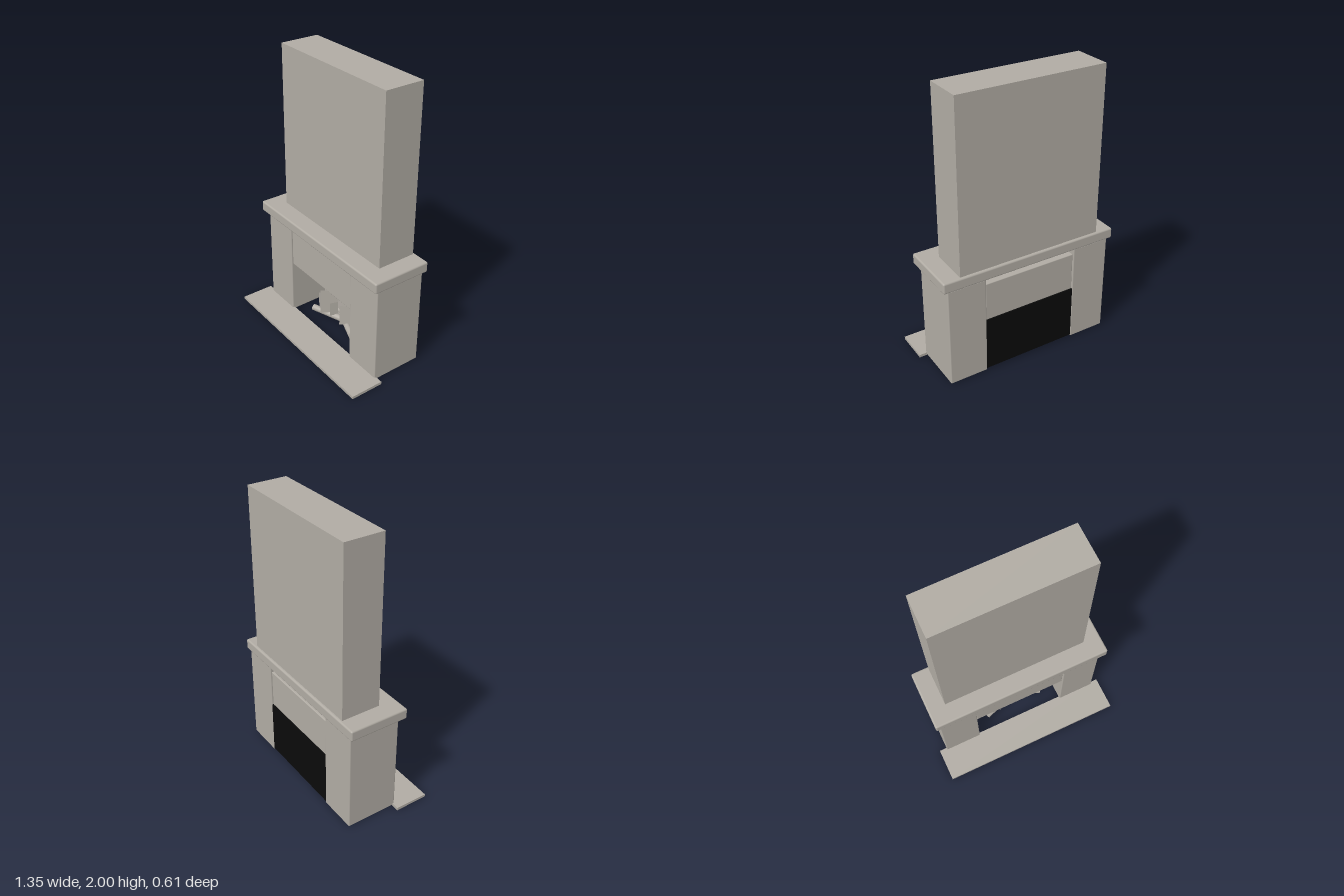
import * as THREE from 'three';
import { RoundedBoxGeometry } from 'three/addons/geometries/RoundedBoxGeometry.js';

export function createModel() {
  const model = new THREE.Group();
  model.name = 'fireplace';
  const stone = new THREE.MeshStandardMaterial({ color: 0xb0aba3 });
  stone.name = 'warm grey stone';
  const soot = new THREE.MeshStandardMaterial({ color: 0x0a0a0a });
  soot.name = 'soot black';
  const flameGrey = new THREE.MeshStandardMaterial({ color: 0xb0aba3, side: THREE.DoubleSide });
  flameGrey.name = 'flame grey';

  const add = (name, geometry, material) => {
    const mesh = new THREE.Mesh(geometry, material);
    mesh.name = name;
    model.add(mesh);
    return mesh;
  };

  // Box given by its limits on each axis, with optional rounded edges
  const block = (name, [x0, x1], [y0, y1], [z0, z1], material = stone, round = 0) => {
    const size = [x1 - x0, y1 - y0, z1 - z0];
    const geometry = round
      ? new RoundedBoxGeometry(...size, 3, round)
      : new THREE.BoxGeometry(...size);
    add(name, geometry, material).position.set((x0 + x1) / 2, (y0 + y1) / 2, (z0 + z1) / 2);
  };

  // Masonry
  block('hearthSlab', [-0.675, 0.675], [0, 0.02], [0.065, 0.305]);
  block('leftPillar', [0.343, 0.62], [0.003, 0.735], [-0.295, 0.08], stone, 0.008);
  block('rightPillar', [-0.62, -0.343], [0.003, 0.735], [-0.295, 0.08], stone, 0.008);
  block('lintel', [-0.343, 0.343], [0.41, 0.69], [-0.285, 0.07], stone, 0.006);
  block('mantelShelf', [-0.652, 0.652], [0.735, 0.812], [-0.308, 0.122], stone, 0.012);
  block('chimneyBreast', [-0.526, 0.526], [0.81, 2], [-0.29, -0.008]);

  // Firebox back
  block('fireboxBack', [-0.345, 0.345], [0.015, 0.412], [-0.292, -0.275], soot);

  // Crossed logs
  const log = (from, to, radius) => {
    const a = new THREE.Vector3(...from);
    const b = new THREE.Vector3(...to);
    const mesh = add('log', new THREE.CylinderGeometry(radius, radius, a.distanceTo(b), 16), stone);
    mesh.position.copy(a).add(b).multiplyScalar(0.5);
    mesh.quaternion.setFromUnitVectors(new THREE.Vector3(0, 1, 0), b.sub(a).normalize());
  };
  log([-0.23, 0.043, -0.03], [0.23, 0.043, -0.19], 0.023);
  log([-0.23, 0.043, -0.22], [0.23, 0.043, -0.04], 0.022);
  log([-0.235, 0.083, -0.15], [0.235, 0.083, -0.12], 0.022);

  // Upright flame sheets: centre x and z, width, bottom, top, turn about y
  const flames = [
    [0, -0.16, 0.38, 0.06, 0.33, 0],
    [-0.105, -0.12, 0.2, 0.06, 0.25, 0.05],
    [-0.152, -0.08, 0.09, 0.06, 0.2, 1.0],
    [-0.088, -0.07, 0.13, 0.06, 0.26, 0.95],
    [-0.045, -0.08, 0.06, 0.06, 0.17, 1.25],
    [0.085, -0.08, 0.08, 0.05, 0.215, 0.75],
  ];
  for (const [x, z, width, y0, y1, turn] of flames) {
    const flame = add('flameSheet', new THREE.PlaneGeometry(width, y1 - y0), flameGrey);
    flame.position.set(x, (y0 + y1) / 2, z);
    flame.rotation.y = turn;
  }
  return model;
}
